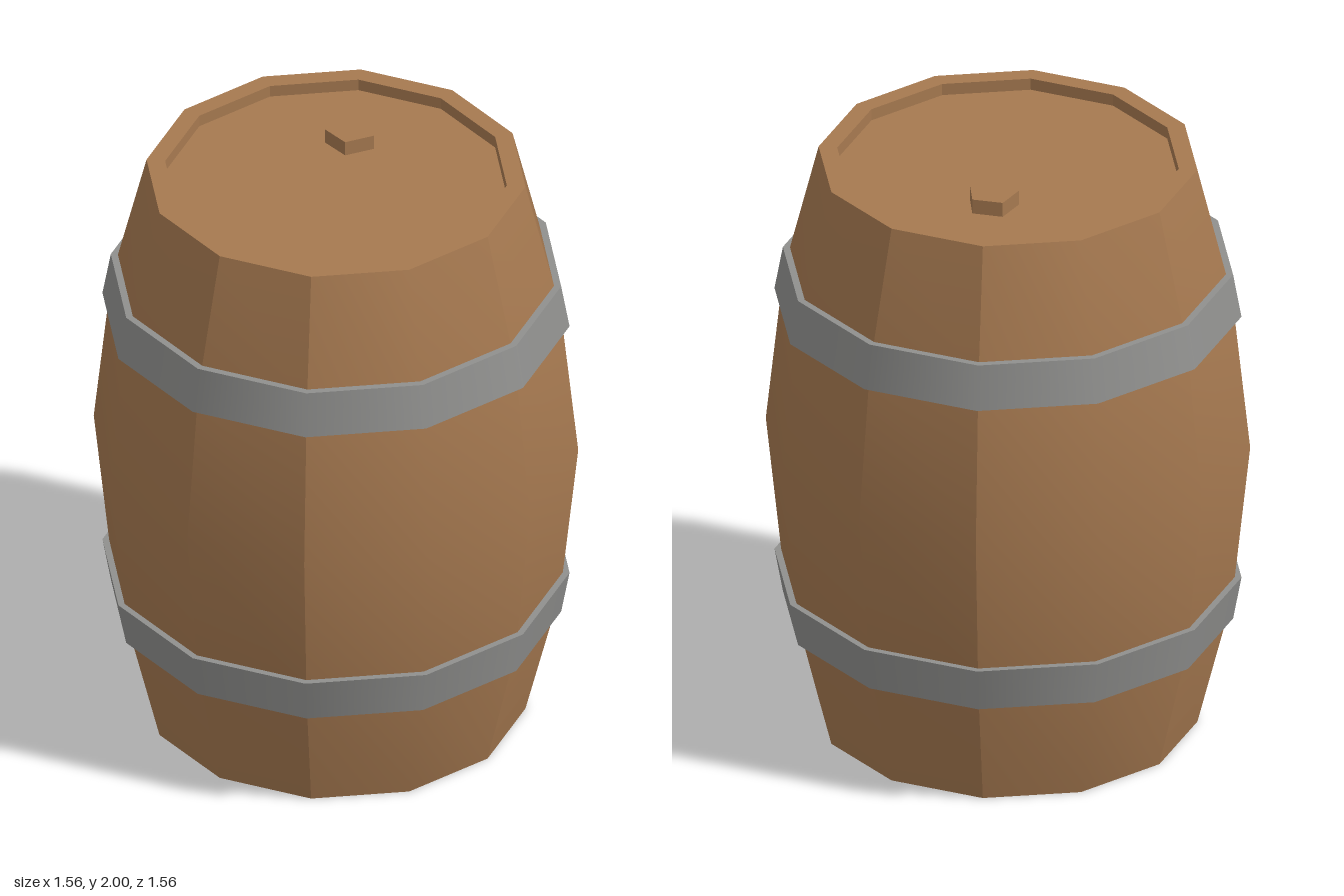
import * as THREE from 'three';

const SIDES = 12;
const STEP = Math.PI * 2 / SIDES;
const profile = (pairs) => pairs.map(([r, y]) => new THREE.Vector2(r, y));

// Twelve-sided revolved surface with every facet flat
function flatLathe(pairs) {
  const geometry = new THREE.LatheGeometry(profile(pairs), SIDES).toNonIndexed();
  geometry.computeVertexNormals();
  return geometry;
}

export function createModel() {
  const wood = new THREE.MeshStandardMaterial({ color: 0xa67950 });
  wood.name = 'wood';
  const metal = new THREE.MeshStandardMaterial({ color: 0x90908e });
  metal.name = 'metal';

  const barrel = new THREE.Group();
  barrel.name = 'barrel';
  const add = (name, geometry, material, parent = barrel) => {
    const mesh = new THREE.Mesh(geometry, material);
    mesh.name = name;
    parent.add(mesh);
    return mesh;
  };

  // Bulging wall: creased staves, with the two facets on each axis blended
  const wall = profile([[0.61, 0], [0.722, 0.45], [0.78, 1], [0.722, 1.54], [0.61, 1.99]]);
  const staves = new THREE.Group();
  staves.name = 'staves';
  barrel.add(staves);
  for (let quarter = 0; quarter < 4; quarter++) {
    const start = quarter * Math.PI / 2;
    for (const [offset, facets] of [[-1, 2], [1, 1]]) {
      const geometry = new THREE.LatheGeometry(wall, facets, start + offset * STEP, facets * STEP);
      geometry.computeVertexNormals();
      add('stave', geometry, wood, staves);
    }
  }

  // Rims with recessed heads
  add('topHead', flatLathe([[0.61, 1.99], [0.55, 1.99], [0.55, 1.95], [0, 1.95]]), wood);
  add('bottomHead', flatLathe([[0, 0.04], [0.55, 0.04], [0.55, 0], [0.61, 0]]), wood);

  // Hoops flare towards the middle of the barrel
  const hoops = [
    ['lowerHoop', 0.38, 0.725, 0.53, 0.752],
    ['upperHoop', 1.47, 0.752, 1.62, 0.725],
  ];
  for (const [name, y0, r0, y1, r1] of hoops) {
    const hoop = new THREE.Group();
    hoop.name = name;
    barrel.add(hoop);
    add('hoopBand', new THREE.LatheGeometry(profile([[r0, y0], [r1, y1]]), SIDES), metal, hoop);
    add('hoopTopEdge', flatLathe([[r1, y1], [0.68, y1]]), metal, hoop);
    add('hoopBottomEdge', flatLathe([[0.68, y0], [r0, y0]]), metal, hoop);
  }

  // Five-sided bung standing on the top head
  const bungGeometry = new THREE.CylinderGeometry(0.085, 0.085, 0.06, 5).toNonIndexed();
  bungGeometry.computeVertexNormals();
  const bung = add('bung', bungGeometry, wood);
  bung.position.set(0.14, 1.97, -0.21);
  bung.rotation.y = Math.PI;

  return barrel;
}
